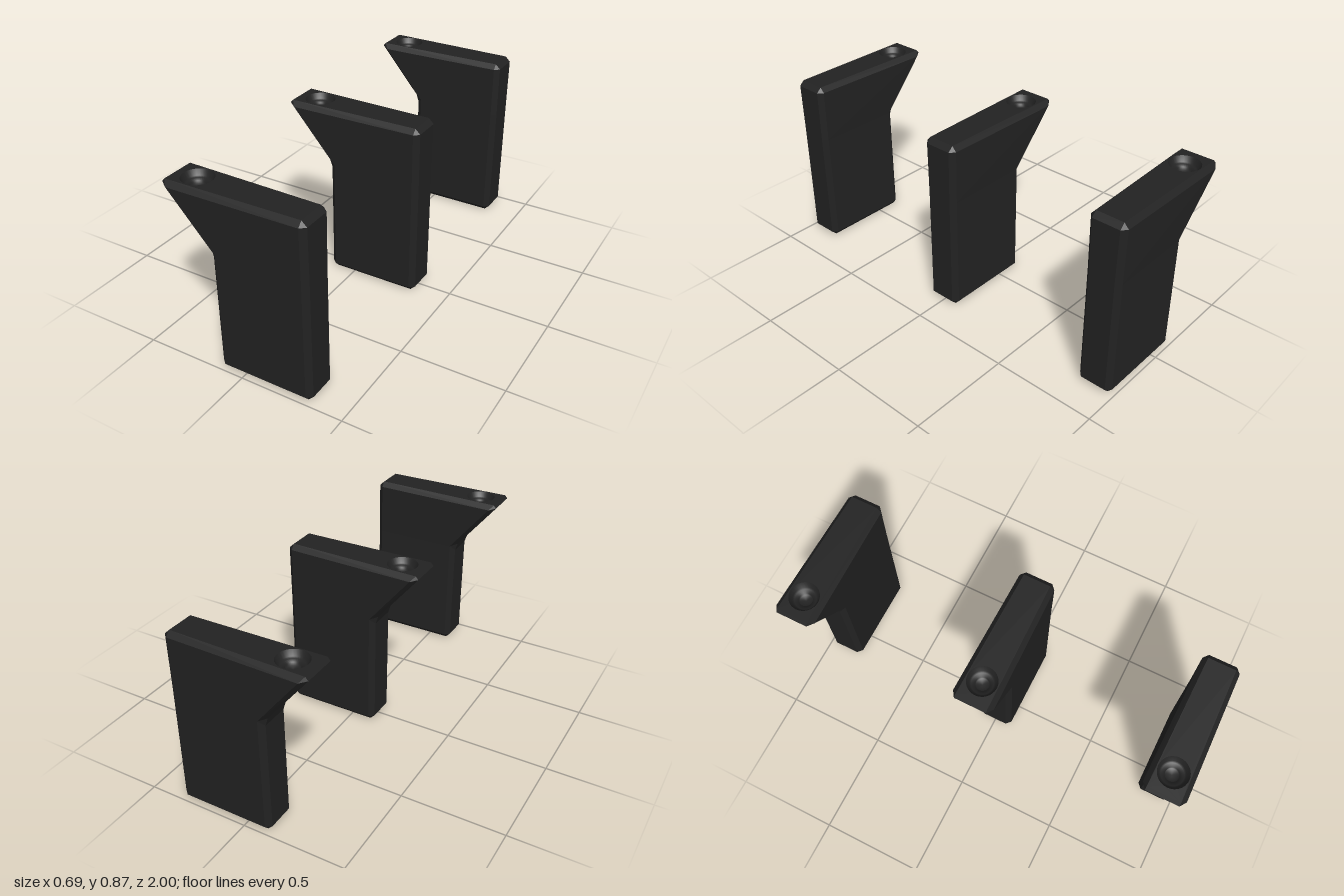
import * as THREE from 'three';

const INSET = 0.022, TOP = 0.87, HOLE_X = -0.225, HOLE_R = 0.071;

// Side-face corners, counter-clockwise: position, half width, and the two rim points each one is chamfered to
const corners = [
  { a: [-0.10, 0.024], w: 0.085, b: [[-0.124, 0.024], [-0.10, 0]] },
  { a: [0.317, 0.024], w: 0.085, b: [[0.317, 0], [0.342, 0.024]] },
  { a: [0.317, 0.585], w: 0.085, b: [[0.342, 0.585], [0.342, 0.585]] },
  { a: [0.317, 0.846], w: 0.088, b: [[0.342, 0.846], [0.317, TOP]] },
  { a: [-0.31, 0.846], w: 0.10, b: [[-0.33, TOP], [-0.343, 0.855]] },
  { a: [-0.10, 0.585], w: 0.085, b: [[-0.137, 0.60], [-0.124, 0.56]] },
];

function bodyGeometry() {
  const pos = [];
  const tri = (...p) => p.forEach((v) => pos.push(...v));
  const quad = (p, q, r, s) => { tri(p, q, r); tri(p, r, s); };
  const A = (i, s) => [...corners[i].a, s * corners[i].w];
  const B = (i, k, s) => [...corners[i].b[k], s * (corners[i].w - INSET)];
  const n = corners.length;
  for (const s of [1, -1]) {
    const face = (...p) => {
      if (s < 0) p.reverse();
      if (p.length === 3) tri(...p); else quad(...p);
    };
    // flat lower side and flared upper side
    face(A(0, s), A(1, s), A(2, s), A(5, s));
    face(A(5, s), A(2, s), A(3, s), A(4, s));
    // chamfers along the edges and at the corners
    for (let i = 0; i < n; i++) {
      const j = (i + 1) % n;
      face(A(i, s), B(i, 1, s), B(j, 0, s), A(j, s));
      if (i !== 2) face(A(i, s), B(i, 0, s), B(i, 1, s));
    }
  }
  // rim between both sides; the top is a separate pierced plate
  for (let i = 0; i < n; i++) {
    const j = (i + 1) % n;
    if (i !== 2) quad(B(i, 0, 1), B(i, 0, -1), B(i, 1, -1), B(i, 1, 1));
    if (i !== 3) quad(B(i, 1, 1), B(i, 1, -1), B(j, 0, -1), B(j, 0, 1));
  }
  const g = new THREE.BufferGeometry();
  g.setAttribute('position', new THREE.Float32BufferAttribute(pos, 3));
  g.computeVertexNormals();
  return g;
}

// Top face with the round opening
function topGeometry() {
  const w0 = corners[4].w - INSET, w1 = corners[3].w - INSET;
  const shape = new THREE.Shape([[-0.33, -w0], [0.317, -w1], [0.317, w1], [-0.33, w0]]
    .map(([x, y]) => new THREE.Vector2(x, y)));
  const hole = new THREE.Path();
  hole.absarc(HOLE_X, 0, HOLE_R, 0, Math.PI * 2, true);
  shape.holes.push(hole);
  return new THREE.ShapeGeometry(shape, 16).rotateX(-Math.PI / 2).translate(0, TOP, 0);
}

// Stepped dish sunk below the opening
function recessGeometry() {
  const profile = [[HOLE_R, 0], [0.058, -0.025], [0.05, -0.03], [0.032, -0.035], [0.03, -0.05], [0, -0.05]];
  return new THREE.LatheGeometry(profile.map(([r, y]) => new THREE.Vector2(r, y)), 32)
    .translate(HOLE_X, TOP, 0);
}

export function createModel() {
  const model = new THREE.Group();
  model.name = 'brackets';
  const black = new THREE.MeshStandardMaterial({ color: 0x222222 });
  black.name = 'black plastic';
  const parts = { body: bodyGeometry(), topFace: topGeometry(), recess: recessGeometry() };
  // three identical brackets in a row
  ['backBracket', 'middleBracket', 'frontBracket'].forEach((name, i) => {
    const bracket = new THREE.Group();
    bracket.name = name;
    bracket.position.z = (i - 1) * 0.9;
    for (const [part, geometry] of Object.entries(parts)) {
      const mesh = new THREE.Mesh(geometry, black);
      mesh.name = part;
      bracket.add(mesh);
    }
    model.add(bracket);
  });
  return model;
}
